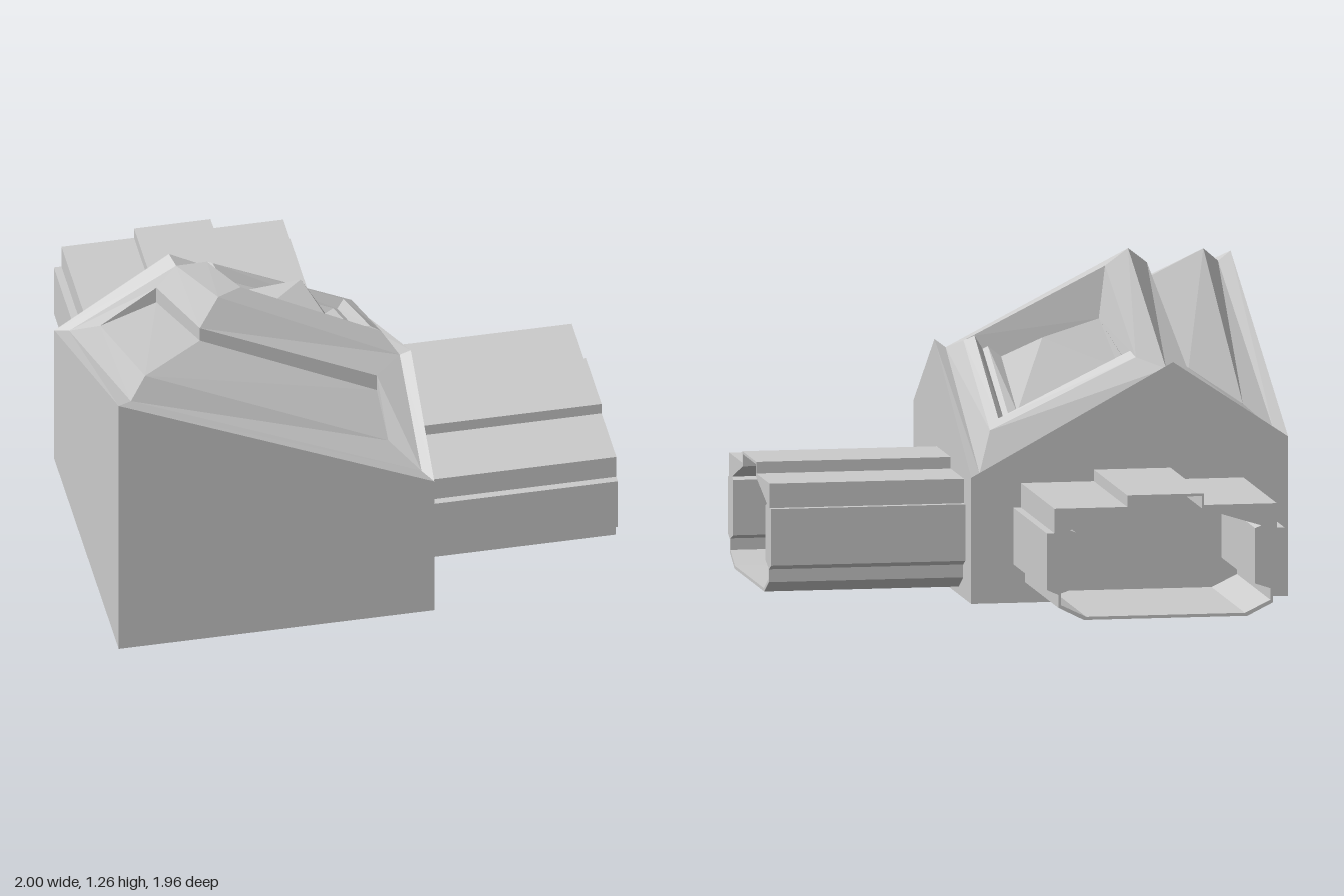
import * as THREE from 'three';

const material = new THREE.MeshStandardMaterial({ color: 0xcccccc, flatShading: true });

// Reflection across the diagonal plane through the front-right-hand corner
const mirror = ([x, y, z]) => [-z - 0.02, y, -x - 0.02];

// Fans each convex polygon into triangles and adds its mirrored twin
function mirroredMesh(name, polygons) {
  const positions = [];
  for (const poly of polygons) {
    for (let i = 1; i < poly.length - 1; i++) {
      const [a, b, c] = [poly[0], poly[i], poly[i + 1]];
      positions.push(...a, ...b, ...c);
      positions.push(...mirror(a), ...mirror(c), ...mirror(b));
    }
  }
  const geometry = new THREE.BufferGeometry();
  geometry.setAttribute('position', new THREE.Float32BufferAttribute(positions, 3));
  geometry.computeVertexNormals();
  const mesh = new THREE.Mesh(geometry, material);
  mesh.name = name;
  return mesh;
}

// Closed outline from half a profile, listed from the bottom up
function outline(half, PathType) {
  const right = half.map(([x, y]) => new THREE.Vector2(x, y));
  const left = half.map(([x, y]) => new THREE.Vector2(-x, y)).reverse();
  return new PathType([...right, ...left]);
}

// Hollow duct with a stepped top and chamfered floor
function duct(name, length) {
  const shape = outline([[0.32, 0.03], [0.42, 0.08], [0.42, 0.13], [0.465, 0.15], [0.465, 0.37],
    [0.435, 0.37], [0.435, 0.465], [0.15, 0.465], [0.15, 0.51]], THREE.Shape);
  shape.holes.push(outline([[0.31, 0.042], [0.41, 0.09], [0.41, 0.135], [0.35, 0.155], [0.35, 0.37],
    [0.375, 0.38], [0.142, 0.452], [0.142, 0.5]], THREE.Path));
  const geometry = new THREE.ExtrudeGeometry(shape, { depth: length, bevelEnabled: false });
  const mesh = new THREE.Mesh(geometry, material);
  mesh.name = name;
  return mesh;
}

export function createModel() {
  const group = new THREE.Group();
  group.name = 'cornerBlock';

  // Floor corners and outer top edge
  const B0 = [-1, 0, 0.98], B1 = [0.24, 0, 0.98], B3 = [0.24, 0, -0.26];
  const O0 = [-1, 1.17, 0.98], O1 = [0.24, 0.62, 0.98], O2 = [0.24, 0.92, 0.53], O3 = [0.24, 0.49, -0.26];
  // Groove inside the lip
  const G0 = [-0.94, 1.14, 0.92], G1 = [0.2, 0.64, 0.93], G2 = [0.2, 0.89, 0.51], G3 = [0.2, 0.5, -0.22];
  // Low outer ridge, trough, and wall top
  const R0 = [-0.87, 1.2, 0.85], R1 = [0.09, 0.73, 0.83];
  const T0 = [-0.6, 1.13, 0.58], T1 = [0.09, 0.81, 0.61];
  const W0 = [-0.6, 1.19, 0.58], W1 = [0.09, 0.88, 0.61];
  // High ridge corner and pit rim
  const K0 = [-0.51, 1.26, 0.49];
  const I0 = [-0.4, 1.21, 0.38], I2 = [0.15, 0.93, 0.4], I3 = [0.15, 0.66, -0.17];
  // Pyramid base and apex
  const P0 = [-0.37, 1.01, 0.35], P1 = [0.01, 0.87, 0.36], P2 = [0.02, 0.71, -0.04], A = [-0.1, 0.98, 0.08];

  group.add(mirroredMesh('bodyWalls', [[B0, B1, O1, O0], [B1, B3, O3, O2, O1], [B0, B3, B1]]));
  group.add(mirroredMesh('roofLip', [[O0, O1, G1, G0], [O1, O2, G2, G1], [O2, O3, G3, G2]]));
  group.add(mirroredMesh('roofRim', [[G0, G1, R1, R0], [G1, G2, W1, R1]]));
  group.add(mirroredMesh('recessedPanel', [[R0, R1, T1, T0], [T0, T1, W1, W0], [R1, W1, T1]]));
  group.add(mirroredMesh('highRidge', [[W0, W1, G2, K0], [K0, G2, I2, I0], [G2, G3, I3, I2]]));

  // Stepped sides of the pit: near-end and far-corner points of each step
  const near = [I2, [0.11, 0.95, 0.385], [0.08, 0.9, 0.375], [0.06, 0.91, 0.37], P1];
  const far = [I3, [0.11, 0.7, -0.13], [0.08, 0.68, -0.1], [0.06, 0.7, -0.08], P2];
  const steps = near.slice(1).map((n, i) => [near[i], far[i], far[i + 1], n]);
  group.add(mirroredMesh('pitSteps', steps));
  group.add(mirroredMesh('pitWalls', [[P0, I0, ...near]]));
  group.add(mirroredMesh('pyramid', [[P0, P1, A], [P1, P2, A]]));

  // Two ducts leaving the body
  const sideDuct = duct('sideDuct', 0.76);
  sideDuct.rotation.y = Math.PI / 2;
  sideDuct.position.set(0.24, 0, 0.33);
  const backDuct = duct('backDuct', 0.72);
  backDuct.position.set(-0.39, 0, -0.98);
  group.add(sideDuct, backDuct);
  return group;
}
